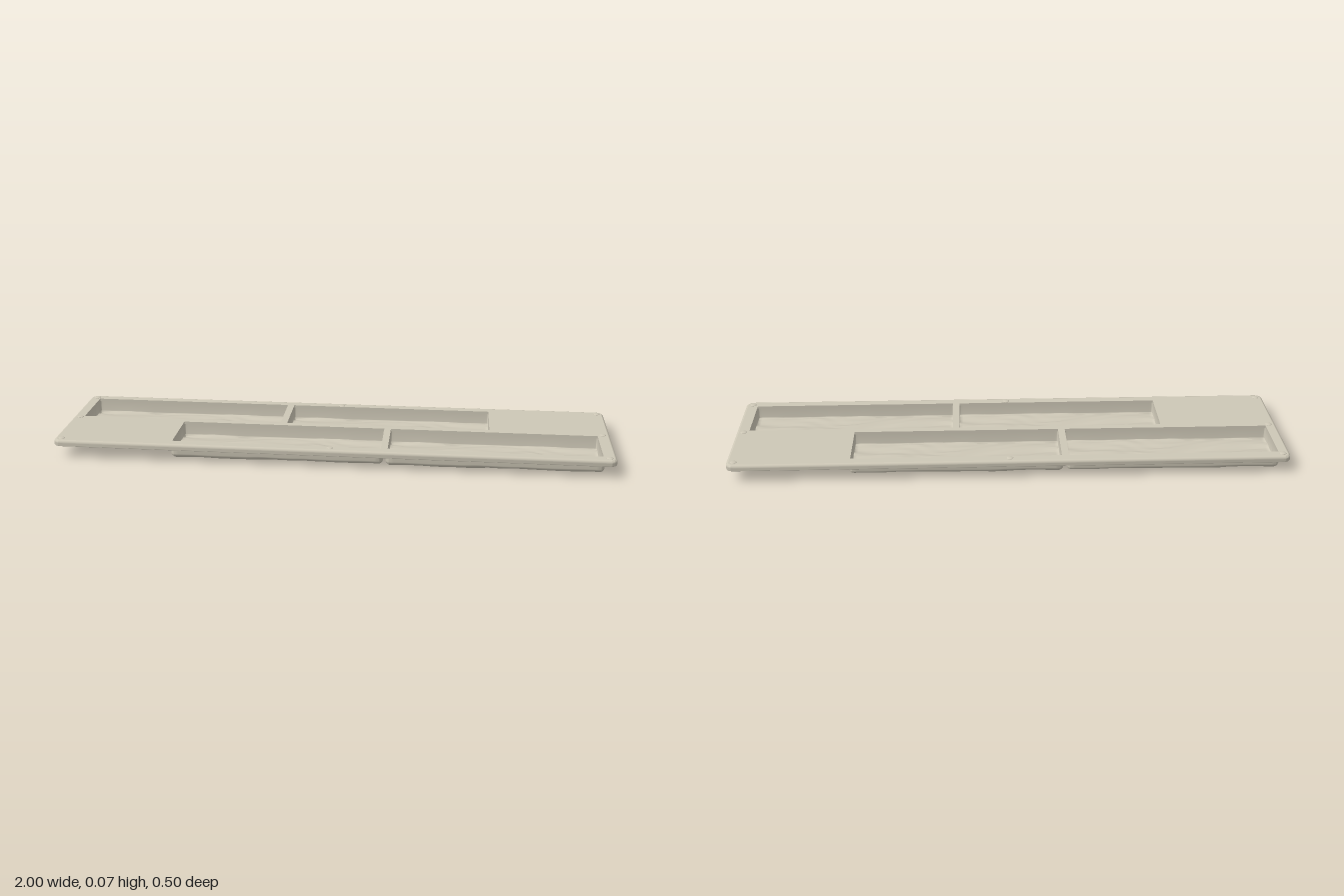
import * as THREE from 'three';
import { toCreasedNormals } from 'three/addons/utils/BufferGeometryUtils.js';

const HALF_X = 1, HALF_Z = 0.252, TOP = 0.07, UNDER = 0.061;
const POCKET_X = 0.375, POCKET_Z = 0.1, WALL = 0.0075;
const POCKETS = [[-0.585, -0.1125], [0.19, -0.1125], [-0.195, 0.1125], [0.579, 0.1125]];

// Wood grain: long streaks along x, short waves across z
function grain(x, z) {
  const bend = 0.012 * Math.sin(9 * x + 1) + 0.006 * Math.sin(23 * x + 14 * z);
  const w = z + bend;
  return 0.0028 * Math.sin(68 * w + 2.2 * Math.sin(7 * x)) +
    0.0016 * Math.sin(150 * w + 3 * Math.sin(11 * x + 2)) * Math.sin(17 * x + 30 * z) +
    0.0012 * Math.sin(31 * x + 40 * z) - 0.15 * z * z;
}

// Sample positions across one axis, doubled at the ends to form the side walls
function samples(half, r, n) {
  const edge = [0, 0.06, 0.2, 0.42, 0.7, 1].map((t) => -half + r * t);
  const list = [-half, ...edge];
  for (let i = 1; i < n; i++) list.push((half - r) * (2 * i / n - 1));
  return [...list, ...edge.map((v) => -v).reverse(), half];
}

// Open tub with a grained floor; its outer skin faces down, its inner skin up
function tub(hx, hz, r, floor, facesUp) {
  const xs = samples(hx, r, 76), zs = samples(hz, r, 32);
  const pos = [], index = [];
  const nx = xs.length, nz = zs.length;
  zs.forEach((z, j) => xs.forEach((x, i) => {
    const onWall = i === 0 || j === 0 || i === nx - 1 || j === nz - 1;
    const d = Math.min(hx - Math.abs(x), hz - Math.abs(z), r);
    const t = Math.max(0, 1 - d / r);
    const y = onWall ? UNDER : floor + grain(x, z) * (1 - 0.7 * t) + 0.015 * (r / 0.02) * (1 - Math.sqrt(1 - t * t));
    // round the corners in plan
    const dx = Math.abs(x) - (hx - r), dz = Math.abs(z) - (hz - r);
    let px = x, pz = z;
    if (dx > 0 && dz > 0) {
      const k = Math.max(dx, dz) / Math.hypot(dx, dz);
      px = Math.sign(x) * (hx - r + dx * k);
      pz = Math.sign(z) * (hz - r + dz * k);
    }
    pos.push(px, y, pz);
  }));
  for (let j = 0; j < nz - 1; j++) {
    for (let i = 0; i < nx - 1; i++) {
      const a = j * nx + i, b = a + 1, c = a + nx, d = c + 1;
      if (facesUp) index.push(a, c, b, b, c, d);
      else index.push(a, b, c, b, d, c);
    }
  }
  const g = new THREE.BufferGeometry();
  g.setAttribute('position', new THREE.Float32BufferAttribute(pos, 3));
  g.setIndex(index);
  return toCreasedNormals(g, 0.7);
}

// Rounded rectangle outline, inset from the tray edge
function outline(inset) {
  const r = 0.028 - inset, pts = [];
  const cx = HALF_X - 0.028, cz = HALF_Z - 0.028;
  [[1, 1], [-1, 1], [-1, -1], [1, -1]].forEach(([sx, sz], q) => {
    for (let i = 0; i <= 8; i++) {
      const a = (q + i / 8) * Math.PI / 2;
      pts.push(new THREE.Vector2(sx * cx + r * Math.cos(a), sz * cz + r * Math.sin(a)));
    }
  });
  return pts;
}

// Flat top with four openings
function plateGeometry() {
  const shape = new THREE.Shape(outline(0.009));
  for (const [x, z] of POCKETS) {
    shape.holes.push(new THREE.Path([[-1, -1], [-1, 1], [1, 1], [1, -1]].map(
      ([sx, sz]) => new THREE.Vector2(x + sx * POCKET_X, -z + sz * POCKET_Z))));
  }
  const g = new THREE.ExtrudeGeometry(shape, { depth: TOP - UNDER, bevelEnabled: false });
  return g.rotateX(-Math.PI / 2).translate(0, UNDER, 0);
}

// Rounded lip hanging round the edge
function rimGeometry() {
  const profile = [[0.01, UNDER], [0.008, 0.048], [0.001, 0.048], [0, 0.05], [0, 0.06],
    [0.0012, 0.065], [0.0045, 0.0688], [0.009, TOP]];
  const pos = [], index = [];
  const n = outline(0).length;
  profile.forEach(([inset, y]) => outline(inset).forEach((p) => pos.push(p.x, y, p.y)));
  for (let j = 0; j < profile.length - 1; j++) {
    for (let i = 0; i < n; i++) {
      const a = j * n + i, b = j * n + (i + 1) % n;
      index.push(a, a + n, b, b, a + n, b + n);
    }
  }
  const g = new THREE.BufferGeometry();
  g.setAttribute('position', new THREE.Float32BufferAttribute(pos, 3));
  g.setIndex(index);
  return toCreasedNormals(g, 0.7);
}

export function createModel() {
  const group = new THREE.Group();
  group.name = 'brickMouldTray';
  const plastic = new THREE.MeshStandardMaterial({ color: 0xcdc7b6 });
  plastic.name = 'warm grey plastic';

  const add = (name, geometry, parent = group) => {
    const mesh = new THREE.Mesh(geometry, plastic);
    mesh.name = name;
    parent.add(mesh);
    return mesh;
  };

  add('topPlate', plateGeometry());
  add('rim', rimGeometry());

  // Four identical pockets in two staggered rows
  const inner = tub(POCKET_X, POCKET_Z, 0.004, 0.019, true);
  const outer = tub(POCKET_X + WALL, POCKET_Z + WALL, 0.02, 0.0085, false);
  for (const [x, z] of POCKETS) {
    const pocket = new THREE.Group();
    pocket.name = 'pocket';
    pocket.position.set(x, 0, z);
    add('pocketInside', inner, pocket);
    add('pocketOutside', outer, pocket);
    group.add(pocket);
  }

  // Low stacking bumps near the edge
  const bump = new THREE.SphereGeometry(0.012, 16, 6, 0, Math.PI * 2, 0, Math.PI / 2).scale(1, 0.27, 1);
  for (const x of [-0.973, 0, 0.973]) {
    for (const z of [-0.226, 0, 0.226]) {
      if (x === 0 && z === 0) continue;
      add('stackingBump', bump, group).position.set(x, TOP, z);
    }
  }
  return group;
}
